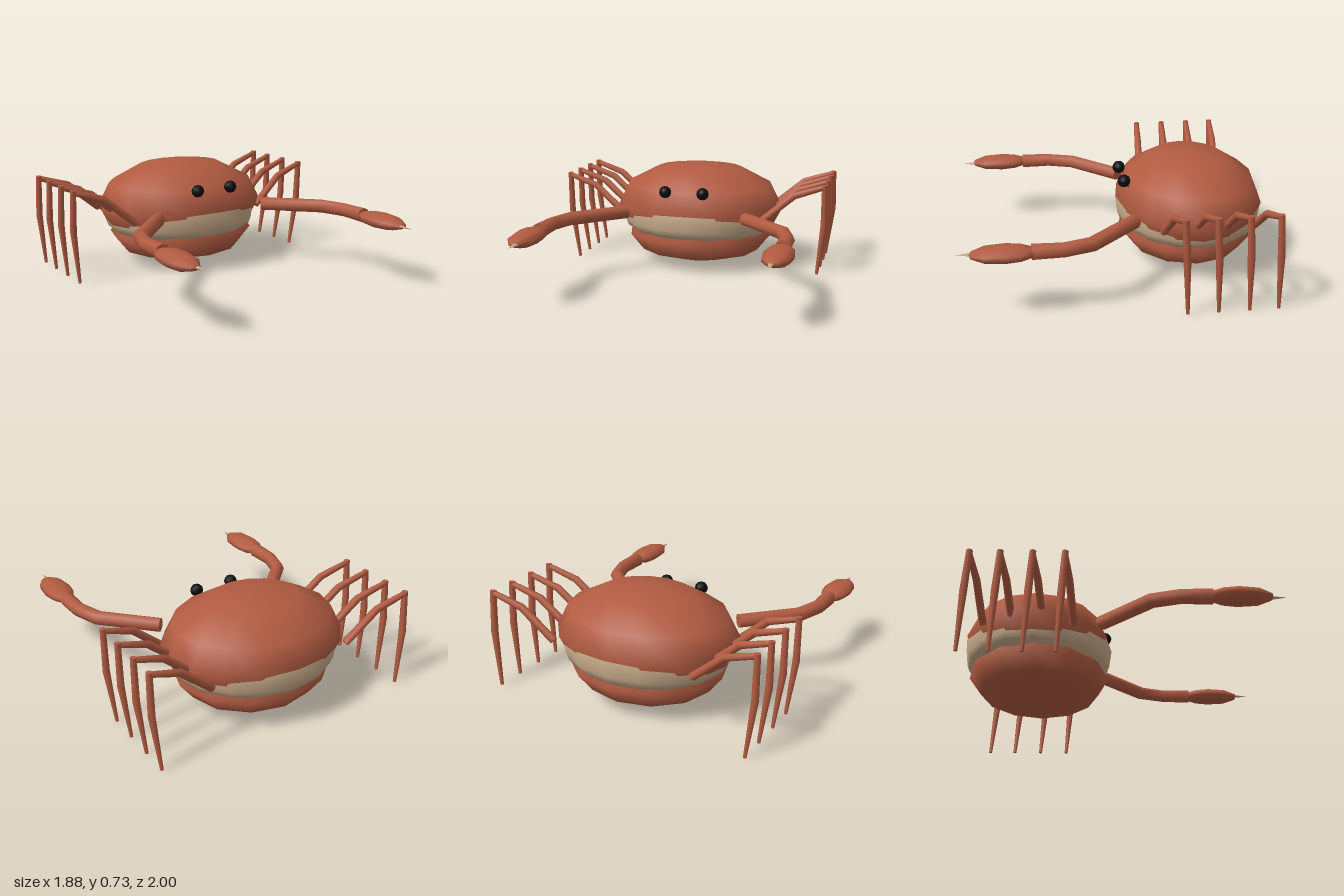
import * as THREE from 'three';

const mat = (name, color) => {
  const m = new THREE.MeshStandardMaterial({ color });
  m.name = name;
  return m;
};

export function createModel() {
  const red = mat('shellRed', 0xb15b41);
  const cream = mat('bellyCream', 0xc6a988);
  const black = mat('eyeBlack', 0x0b0b0b);
  const model = new THREE.Group();

  const add = (parent, name, geometry, material, x = 0, y = 0, z = 0) => {
    const mesh = new THREE.Mesh(geometry, material);
    mesh.name = name;
    mesh.position.set(x, y, z);
    parent.add(mesh);
    return mesh;
  };
  const lathe = (pts, segments) =>
    new THREE.LatheGeometry(pts.map(([r, y]) => new THREE.Vector2(r, y)), segments);

  // Tube through a few points with its own radius at each, capped at both ends
  const limb = (pts, radii, sides) => {
    const v = pts.map((p) => new THREE.Vector3(...p));
    const pos = [], idx = [];
    const dir = (a, b) => v[b].clone().sub(v[a]).normalize();
    // Reference axis is perpendicular to the plane in which the limb bends
    const ref = dir(0, 1).cross(dir(1, v.length - 1)).normalize();
    v.forEach((p, i) => {
      const a = i > 0 ? dir(i - 1, i) : dir(0, 1);
      const b = i < v.length - 1 ? dir(i, i + 1) : a;
      const t = a.clone().add(b).normalize();
      const u = ref.clone().addScaledVector(t, -ref.dot(t)).normalize();
      const w = t.clone().cross(u);
      const miter = 1 / Math.max(0.75, t.dot(b));
      for (let s = 0; s < sides; s++) {
        const k = (s / sides) * Math.PI * 2;
        const q = p.clone().addScaledVector(u, Math.cos(k) * radii[i])
          .addScaledVector(w, Math.sin(k) * radii[i] * miter);
        pos.push(q.x, q.y, q.z);
        if (i > 0) {
          const n = (s + 1) % sides, o = (i - 1) * sides, e = i * sides;
          idx.push(o + s, o + n, e + s, o + n, e + n, e + s);
        }
      }
    });
    // End caps with separate corners, so their edges stay sharp
    [0, v.length - 1].forEach((ring, end) => {
      const base = pos.length / 3;
      for (let k = 0; k < sides * 3; k++) pos.push(pos[ring * sides * 3 + k]);
      for (let s = 1; s < sides - 1; s++) {
        idx.push(base, base + (end ? s : s + 1), base + (end ? s + 1 : s));
      }
    });
    const g = new THREE.BufferGeometry();
    g.setAttribute('position', new THREE.Float32BufferAttribute(pos, 3));
    g.setIndex(idx);
    g.computeVertexNormals();
    return g;
  };

  // Body: domed shell, pale band below it, and a flat-bottomed underside
  add(model, 'upperShell', new THREE.SphereGeometry(1, 16, 6).scale(0.6, 0.31, 0.485),
    red, 0, 0.42, -0.515);
  add(model, 'paleBand',
    lathe([[0.5, 0.16], [0.85, 0.235], [0.94, 0.27], [0.97, 0.31], [1, 0.42], [0.9, 0.48]], 16)
      .scale(0.56, 1, 0.486), cream, 0, 0, -0.515);
  add(model, 'lowerShell',
    lathe([[0, -0.951], [0.32, -0.951], [0.82, -0.588], [1, 0], [0.809, 0.588], [0.309, 0.951]], 12)
      .scale(0.516, 0.195, 0.457), red, 0, 0.215, -0.508);

  for (const side of [1, -1]) {
    const half = new THREE.Group();
    half.name = side > 0 ? 'leftSide' : 'rightSide';
    model.add(half);

    // Eye on a short stalk
    add(half, 'eyeStalk', new THREE.CylinderGeometry(0.014, 0.014, 0.08, 8).rotateX(0.8),
      red, side * 0.13, 0.555, -0.095);
    add(half, 'eye', new THREE.IcosahedronGeometry(0.042, 1), black, side * 0.13, 0.58, -0.07);

    // Walking legs: bent upper part and thin lower part
    [-0.27, -0.46, -0.65, -0.83].forEach((z) => {
      const leg = new THREE.Group();
      leg.name = 'walkingLeg';
      half.add(leg);
      const s = side;
      add(leg, 'upperLeg', limb([[s * 0.49, 0.37, z], [s * 0.71, 0.555, z - 0.023],
        [s * 0.917, 0.622, z - 0.045]], [0.025, 0.024, 0.018], 8), red);
      add(leg, 'lowerLeg', limb([[s * 0.913, 0.635, z - 0.043], [s * 0.915, 0.36, z - 0.06],
        [s * 0.874, 0.002, z - 0.083]], [0.02, 0.023, 0.011], 8), red);
    });

    // Arm sweeping forward
    add(half, 'clawArm', limb([[side * 0.417, 0.42, -0.1], [side * 0.715, 0.42, 0.2],
      [side * 0.77, 0.42, 0.37], [side * 0.772, 0.42, 0.56]],
      [0.046, 0.046, 0.046, 0.05], 8), red);

    // Flattened claw with a pale tip
    add(half, 'claw',
      lathe([[0, 0.55], [0.05, 0.55], [0.083, 0.62], [0.095, 0.71], [0.083, 0.83], [0.035, 0.91], [0, 0.92]], 10)
        .rotateX(Math.PI / 2).scale(1, 0.52, 1), red, side * 0.775, 0.42, 0);
    const tip = add(half, 'clawTip',
      new THREE.ConeGeometry(0.022, 0.11, 6).rotateX(Math.PI / 2).scale(1, 0.5, 1),
      cream, side * 0.765, 0.42, 0.945);
    tip.rotation.y = side * 0.08;
  }
  return model;
}
